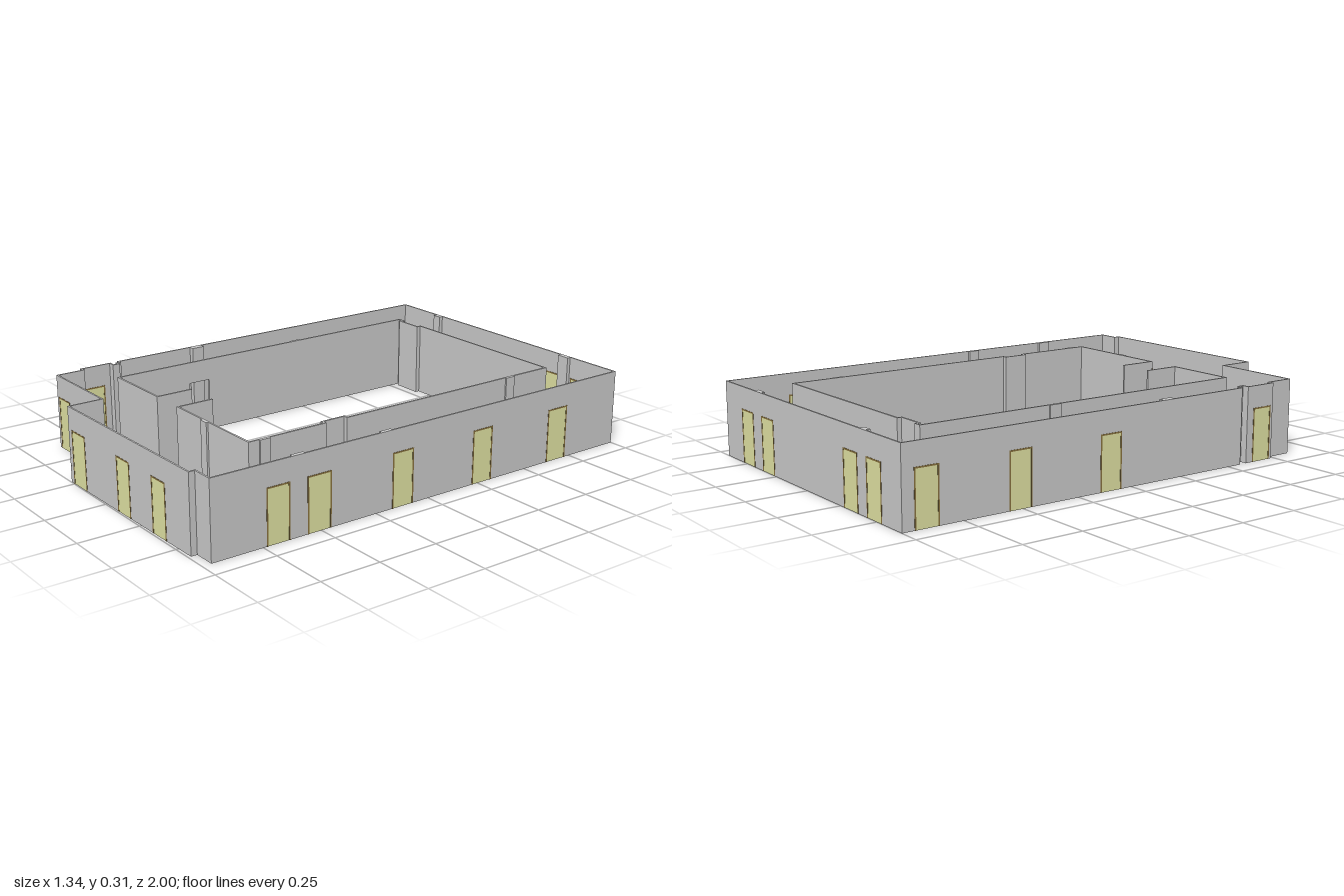
import * as THREE from 'three';

const H = 0.31, DOOR_H = 0.22;
const grey = new THREE.MeshStandardMaterial({ color: 0xcccccc, flatShading: true });
const yellow = new THREE.MeshStandardMaterial({ color: 0xe2e4a4 });
const brown = new THREE.MeshStandardMaterial({ color: 0x8a7440 });

function box(name, w, h, d, x, y, z, material = grey) {
  const mesh = new THREE.Mesh(new THREE.BoxGeometry(w, h, d), material);
  mesh.name = name;
  mesh.position.set(x, y, z);
  return mesh;
}

// A framed door panel filling an opening from s0 to s1 along its wall
function door(s0, s1, t) {
  const g = new THREE.Group();
  g.name = 'door';
  const f = 0.006, w = s1 - s0, c = (s0 + s1) / 2;
  g.add(box('doorPanel', w - 2 * f, DOOR_H - f, t, c, (DOOR_H - f) / 2, 0, yellow));
  for (const s of [s0 + f / 2, s1 - f / 2])
    g.add(box('doorJamb', f, DOOR_H, t + 0.002, s, DOOR_H / 2, 0, brown));
  g.add(box('doorHead', w - 2 * f, f, t + 0.002, c, DOOR_H - f / 2, 0, brown));
  return g;
}

// A straight wall from a to b ([x, z]); openings are ranges on its main axis
function wall(name, a, b, t, openings = [], filled = true) {
  const dx = b[0] - a[0], dz = b[1] - a[1], len = Math.hypot(dx, dz);
  const axis = Math.abs(dx) > Math.abs(dz) ? 0 : 1;
  const along = v => (v - a[axis]) / (b[axis] - a[axis]) * len;
  const spans = openings.map(o => o.map(along).sort((p, q) => p - q)).sort((p, q) => p[0] - q[0]);

  const shape = new THREE.Shape();
  shape.moveTo(-t / 2, 0);
  for (const [s0, s1] of spans) {
    shape.lineTo(s0, 0);
    shape.lineTo(s0, DOOR_H);
    shape.lineTo(s1, DOOR_H);
    shape.lineTo(s1, 0);
  }
  shape.lineTo(len + t / 2, 0);
  shape.lineTo(len + t / 2, H);
  shape.lineTo(-t / 2, H);
  shape.closePath();
  const geo = new THREE.ExtrudeGeometry(shape, { depth: t, bevelEnabled: false }).translate(0, 0, -t / 2);

  const g = new THREE.Group();
  g.name = name;
  const mesh = new THREE.Mesh(geo, grey);
  mesh.name = name + 'Panel';
  g.add(mesh);
  if (filled) for (const [s0, s1] of spans) g.add(door(s0, s1, t));
  g.position.set(a[0], 0, a[1]);
  g.rotation.y = -Math.atan2(dz, dx);
  return g;
}

// A run of walls through points; openings are keyed by segment index
function wallRun(name, points, t, openings = {}, filled = true) {
  const g = new THREE.Group();
  g.name = name;
  for (let i = 0; i < points.length - 1; i++)
    g.add(wall(name + 'Segment', points[i], points[i + 1], t, openings[i], filled));
  return g;
}

export function createModel() {
  const model = new THREE.Group();
  model.name = 'buildingWalls';

  // Outer shell with its doors
  model.add(wallRun('outerWall', [
    [-0.66, -0.996], [0.666, -0.996], [0.666, 0.96], [0.577, 0.96], [0.577, 0.985],
    [-0.272, 0.994], [-0.272, 0.85], [-0.648, 0.85], [-0.648, 0.733], [-0.667, 0.733],
    [-0.667, 0.6], [-0.638, 0.6], [-0.638, 0.575], [-0.654, 0.575], [-0.654, 0.56],
    [-0.668, 0.56], [-0.66, -0.996],
  ], 0.007, {
    0: [[-0.535, -0.435], [-0.375, -0.275], [0.26, 0.36], [0.43, 0.53]],
    1: [[-0.725, -0.62], [-0.32, -0.22], [0.075, 0.175], [0.455, 0.56], [0.635, 0.735]],
    4: [[-0.252, -0.15], [0.085, 0.178], [0.33, 0.423]],
    6: [[-0.637, -0.545]],
    9: [[0.63, 0.725]],
    15: [[-0.95, -0.85], [-0.56, -0.46], [-0.15, -0.05]],
  }));

  // Inner court walls, open at the front passage
  model.add(wallRun('innerWall', [
    [-0.17, 0.515], [-0.17, 0.665], [-0.474, 0.665], [-0.474, -0.803], [-0.447, -0.803],
    [-0.447, -0.788], [-0.329, -0.788], [-0.329, -0.806], [0.461, -0.806], [0.461, 0.225],
    [0.443, 0.225], [0.443, 0.328], [0.461, 0.328], [0.461, 0.665], [-0.018, 0.665],
    [-0.018, 0.515],
  ], 0.008, { 2: [[0.24, 0.335]] }, false));

  // Shallow pilasters: width, depth, x, z
  for (const [w, d, x, z] of [
    [0.04, 0.02, -0.41, -0.985], [0.055, 0.018, 0.395, -0.986],
    [0.028, 0.055, -0.654, 0.185], [0.014, 0.05, 0.659, 0.2], [0.014, 0.055, 0.659, 0.595],
    [0.014, 0.045, 0.464, -0.6], [0.014, 0.045, 0.464, 0.6],
    [0.014, 0.05, -0.477, -0.215], [0.04, 0.016, 0.18, 0.669],
  ]) model.add(box('pilaster', w, H, d, x, H / 2, z));

  return model;
}
